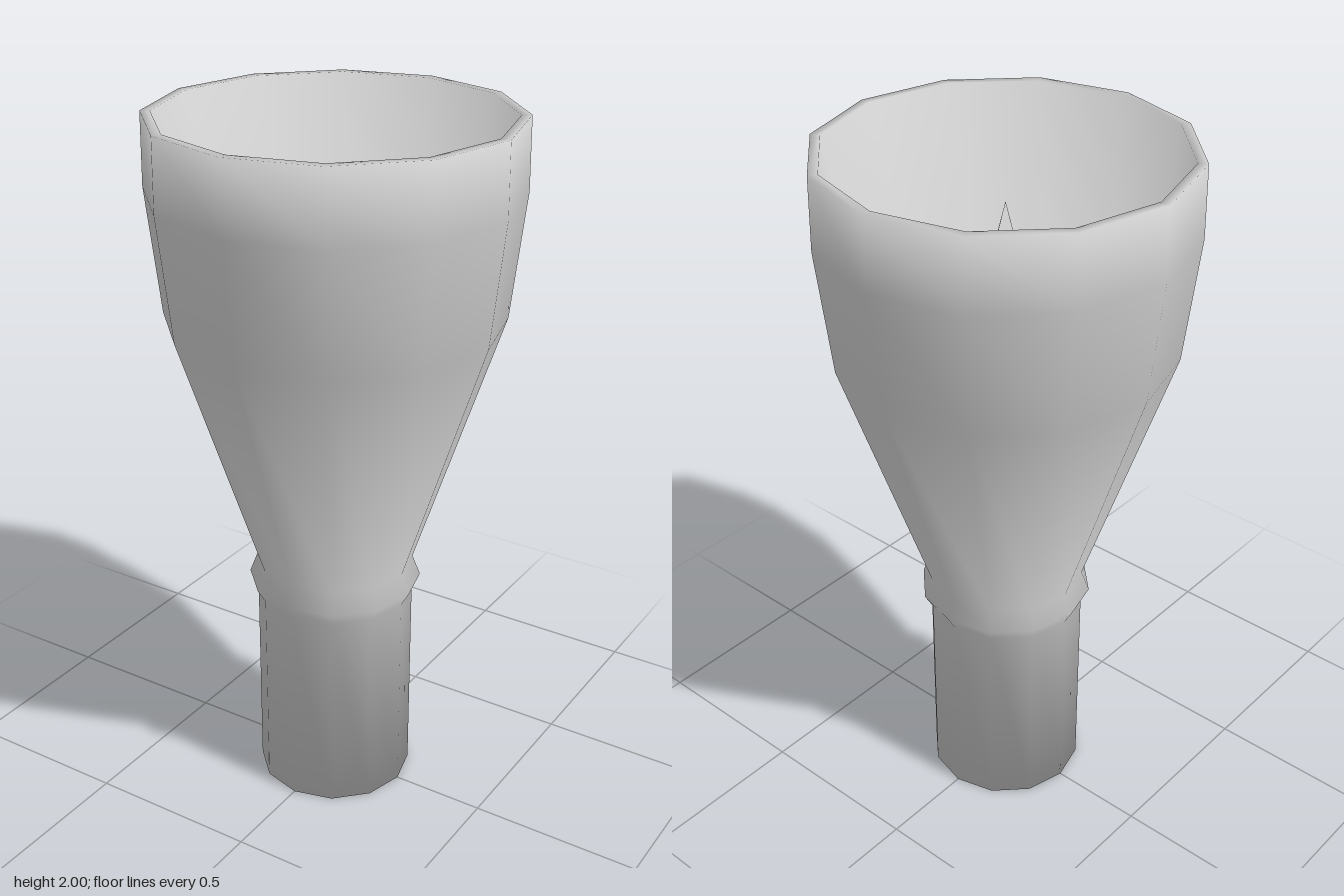
import * as THREE from 'three';

const SIDES = 12;

// Revolves a profile and gives every ring the evenly blended normal of its two neighbouring bands
function softLathe(profile) {
  const points = profile.map(([r, y]) => new THREE.Vector2(r, y));
  const geometry = new THREE.LatheGeometry(points, SIDES);
  const n = points.length;
  const bands = points.slice(1).map((p, i) =>
    new THREE.Vector2(p.y - points[i].y, points[i].x - p.x).normalize());
  const normals = geometry.attributes.normal;
  for (let s = 0; s <= SIDES; s++) {
    const a = (s / SIDES) * Math.PI * 2;
    for (let j = 0; j < n; j++) {
      const m = bands[Math.max(j - 1, 0)].clone().add(bands[Math.min(j, n - 2)]);
      if (points[j].x === 0) m.x = 0; // points on the axis face straight up or down
      m.normalize();
      normals.setXYZ(s * n + j, m.x * Math.sin(a), m.y, m.x * Math.cos(a));
    }
  }
  return geometry;
}

export function createModel() {
  const group = new THREE.Group();
  group.name = 'flaredCup';
  const material = new THREE.MeshStandardMaterial({ color: 0xcccccc });

  // Stem, collar and flared outside, over the rim and down the hollow inside
  const body = new THREE.Mesh(softLathe([
    [0, 0], [0.225, 0], [0.225, 0.61],       // closed stem
    [0.248, 0.65], [0.225, 0.71],            // collar
    [0.467, 1.45], [0.505, 1.8], [0.502, 2], // flared bowl
    [0.475, 2], [0.25, 0.84],                // rim and sloping inner wall
    [0, 1.86],                               // pointed core rising inside
  ]), material);
  body.name = 'cupBody';
  group.add(body);

  return group;
}
